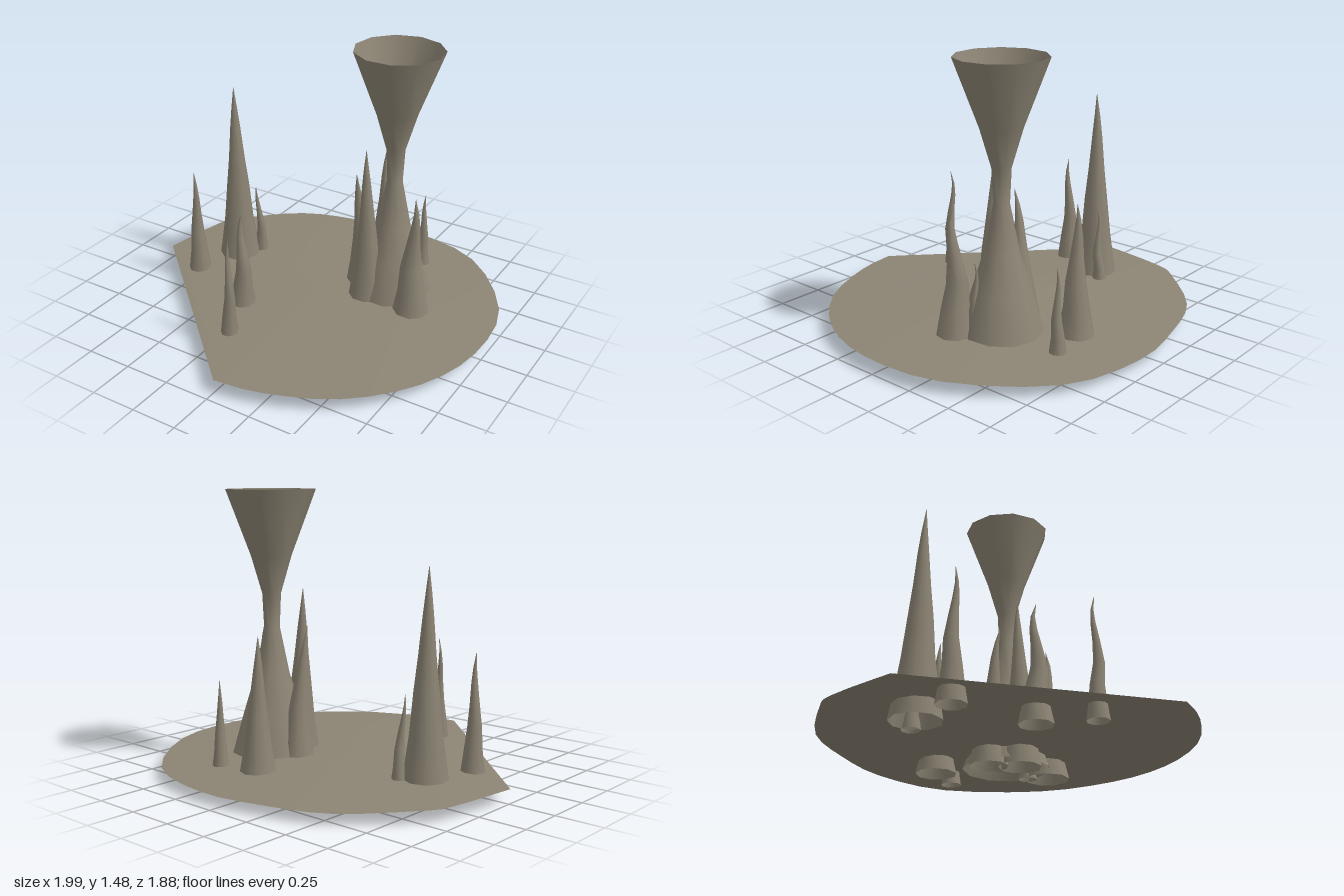
import * as THREE from 'three';

const stone = new THREE.MeshStandardMaterial({ color: 0x8c8474, side: THREE.DoubleSide });
stone.name = 'stone';

// Skin between closed rings of points, sharing the seam so shading stays smooth
function loft(name, rings) {
  const n = rings[0].length, index = [];
  for (let i = 0; i < rings.length - 1; i++) {
    for (let j = 0; j < n; j++) {
      const a = i * n + j, b = i * n + (j + 1) % n;
      index.push(a, b, a + n, b, b + n, a + n);
    }
  }
  const geo = new THREE.BufferGeometry();
  geo.setAttribute('position', new THREE.Float32BufferAttribute(rings.flat(2), 3));
  geo.setIndex(index);
  geo.computeVertexNormals();
  const mesh = new THREE.Mesh(geo, stone);
  mesh.name = name;
  return mesh;
}

function ring(x, y, z, r, sides) {
  return Array.from({ length: sides }, (_, j) => {
    const a = Math.PI + (j / sides) * Math.PI * 2;
    return [x + r * Math.sin(a), y, z + r * Math.cos(a)];
  });
}

// Ground: a rounded outline closed by one straight cut at the front, gently domed
function makeGround() {
  const curve = new THREE.SplineCurve([
    [0, 0.94], [0.25, 0.9], [0.6, 0.74], [0.87, 0.44], [0.99, 0.06], [0.93, -0.39], [0.58, -0.82],
    [0.13, -0.945], [-0.25, -0.895], [-0.58, -0.78], [-0.86, -0.51], [-0.94, -0.37], [-1, 0.01],
  ].map(([x, z]) => new THREE.Vector2(x, z)));
  const outline = curve.getPoints(36);
  for (const t of [0.25, 0.5, 0.75]) outline.push(new THREE.Vector2(-1 + t, 0.01 + 0.93 * t));
  return loft('ground', [1, 0.92, 0.75, 0.5, 0.25, 0].map((s) => outline.map(({ x, y: z }) => {
    const edge = 0.072 + 0.004 * z - 0.02 * Math.min(0, z) ** 2;
    return [x * s, edge * s + 0.1 * (1 - s) + 0.02 * s * (1 - s), z * s];
  })));
}

// Hourglass column, open at the top: height, radius
function makeColumn() {
  const profile = [
    [0.03, 0.235], [0.09, 0.215], [0.3, 0.155], [0.5, 0.092], [0.75, 0.042],
    [0.93, 0.05], [1.13, 0.108], [1.475, 0.237],
  ];
  return loft('hourglassColumn', profile.map(([y, r]) => ring(0.34, y, -0.25, r, 11)));
}

// Spike taper: fraction of height, fraction of base radius
const taper = [
  [0, 1], [0.12, 0.82], [0.28, 0.63], [0.46, 0.49], [0.62, 0.34], [0.78, 0.22], [0.89, 0.12], [1, 0],
];

// Spikes: base x, base z, base radius, height, tip x, tip z, wobble
const spikes = [
  [-0.61, -0.145, 0.132, 1.12, -0.61, -0.13, 0.002],
  [-0.52, -0.24, 0.05, 0.5, -0.53, -0.205, 0.01],
  [-0.705, 0.12, 0.076, 0.68, -0.71, 0.13, -0.008],
  [-0.275, 0.3, 0.087, 0.62, -0.27, 0.303, 0.015],
  [-0.17, 0.57, 0.057, 0.64, -0.16, 0.565, 0.012],
  [0.13, -0.56, 0.11, 0.755, 0.128, -0.555, 0.005],
  [0.35, -0.615, 0.055, 0.51, 0.358, -0.61, 0.006],
  [0.535, -0.11, 0.12, 0.75, 0.537, -0.11, -0.012],
  [0.48, -0.2, 0.05, 0.47, 0.49, -0.205, 0.008],
  [0.26, -0.115, 0.115, 0.95, 0.24, -0.115, 0.003],
  [0.16, -0.245, 0.105, 0.765, 0.152, -0.175, 0.005],
];

// Each spike leans towards its tip and sways in its upper half
function makeSpike([x, z, r, height, tipX, tipZ, wobble]) {
  return loft('spike', taper.map(([t, f]) => {
    const lean = t * t;
    const sway = t < 0.4 || t === 1 ? 0 : wobble * Math.sin(7.85 * t - 2.04);
    return ring(
      x + (tipX - x) * lean + sway, height * t, z + (tipZ - z) * lean + sway * 0.6,
      Math.max(r * f, 0.001), 9);
  }));
}

export function createModel() {
  const model = new THREE.Group();
  model.name = 'stoneSpikes';
  model.add(makeGround(), makeColumn());

  const spikeGroup = new THREE.Group();
  spikeGroup.name = 'spikes';
  spikes.forEach((s) => spikeGroup.add(makeSpike(s)));
  model.add(spikeGroup);
  return model;
}
